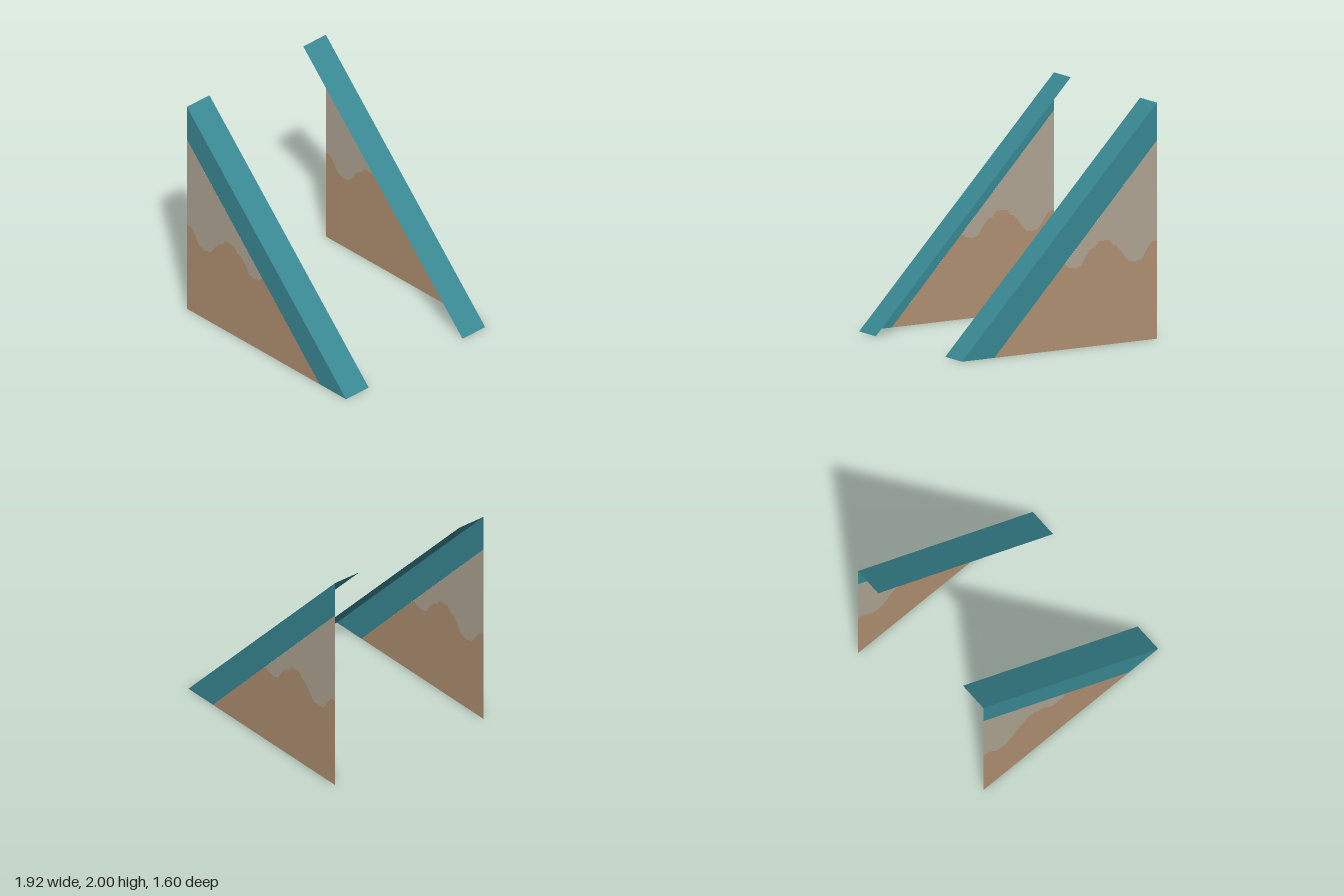
import * as THREE from 'three';

const paint = (name, color) => {
  const m = new THREE.MeshStandardMaterial({ color, side: THREE.DoubleSide });
  m.name = name;
  return m;
};

export function createModel() {
  const teal = paint('teal', 0x3a8a95);
  const sand = paint('sand', 0xb29272);
  const stone = paint('stone', 0xb1a794);

  const X = 0.96, TOP = 2, Z = 0.8, STRIP = 0.26;
  const BAND_TOP = 1.68, BAND_X = 0.64; // lower edge of the sloped band

  // Wavy line where the sand meets the stone, left to right
  const wave = [
    [-X, 0.83], [-0.91, 0.83], [-0.86, 0.77], [-0.83, 0.72], [-0.80, 0.69], [-0.77, 0.685],
    [-0.745, 0.675], [-0.72, 0.685], [-0.69, 0.685], [-0.66, 0.71], [-0.60, 0.79],
    [-0.56, 0.83], [-0.53, 0.835], [-0.50, 0.88], [-0.48, 0.885], [-0.39, 0.885],
    [-0.35, 0.83], [-0.31, 0.825], [-0.26, 0.77], [-0.21, 0.69], [-0.18, 0.685],
    [-0.15, 0.675], [-0.12, 0.685], [-0.09, 0.69], [-0.05, 0.724],
  ];

  const flat = (points) =>
    new THREE.ShapeGeometry(new THREE.Shape(points.map(([x, y]) => new THREE.Vector2(x, y))));

  const wallParts = [
    ['slopedBand', flat([[-X, BAND_TOP], [BAND_X, 0], [X, 0], [-X, TOP]]), teal],
    ['lowerWall', flat([[-X, 0], [BAND_X, 0], ...[...wave].reverse()]), sand],
    ['upperWall', flat([...wave, [-X, BAND_TOP]]), stone],
  ];

  // Flat strip running down the slope, facing up and outwards
  const slope = new THREE.PlaneGeometry(Math.hypot(2 * X, TOP), STRIP);
  slope.rotateX(-Math.PI / 2);
  slope.rotateZ(-Math.atan2(TOP, 2 * X));

  const model = new THREE.Group();
  model.name = 'slopedWalls';
  for (const [name, side] of [['frontWall', 1], ['backWall', -1]]) {
    const wall = new THREE.Group();
    wall.name = name;
    for (const [part, geometry, material] of wallParts) {
      const mesh = new THREE.Mesh(geometry, material);
      mesh.name = part;
      mesh.position.z = side * Z;
      if (side < 0) mesh.scale.z = -1;
      wall.add(mesh);
    }
    // Each strip reaches inwards from its wall
    const strip = new THREE.Mesh(slope, teal);
    strip.name = 'slopeStrip';
    strip.position.set(0, TOP / 2, side * (Z - STRIP / 2));
    wall.add(strip);
    model.add(wall);
  }
  return model;
}
